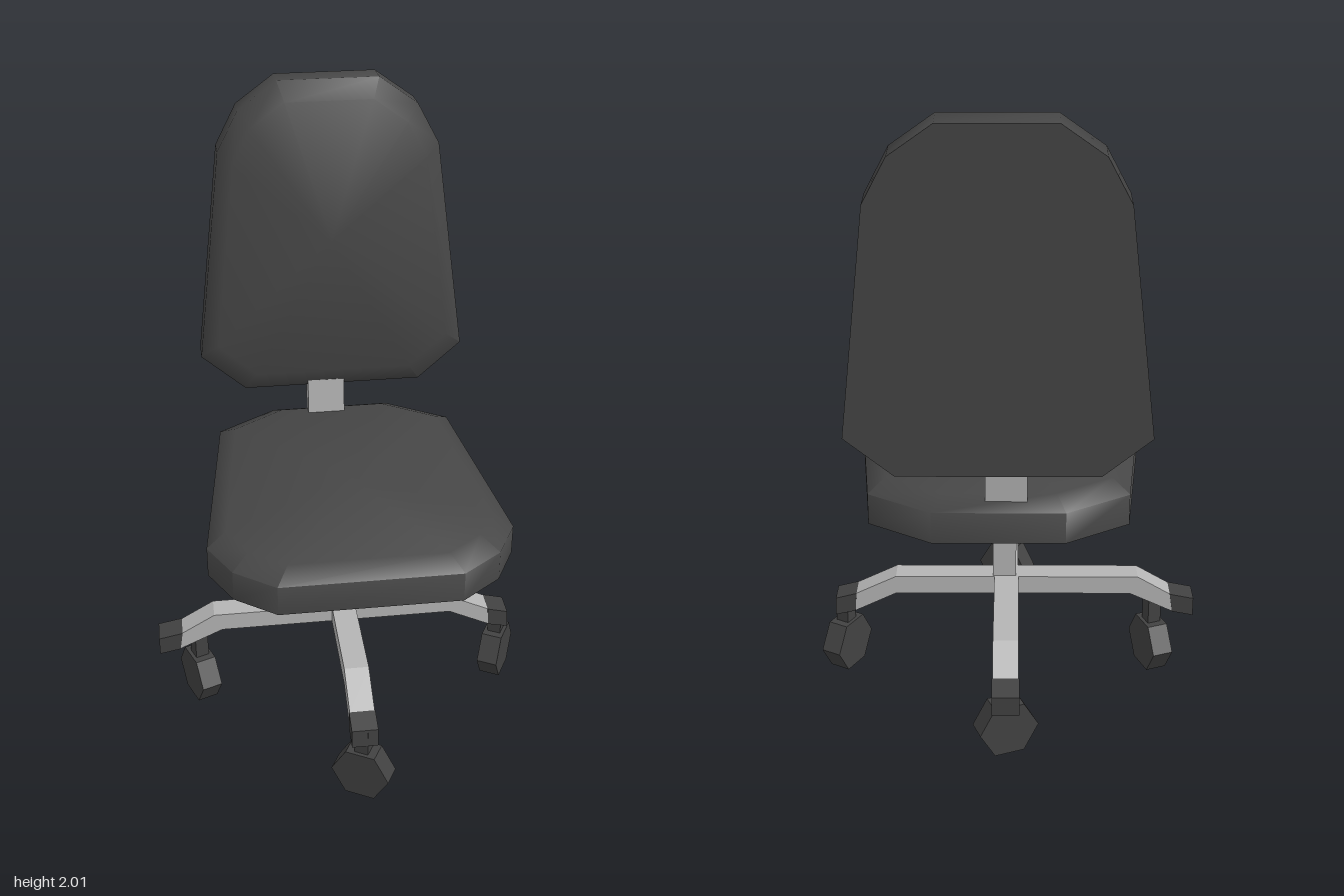
import * as THREE from 'three';
import { toCreasedNormals } from 'three/addons/utils/BufferGeometryUtils.js';

const material = (name, color) => {
  const m = new THREE.MeshStandardMaterial({ color });
  m.name = name;
  return m;
};

// Full counter-clockwise outline from its right half, listed bottom to top
const mirrored = (half) => [...half, ...half.map(([x, y]) => [-x, y]).reverse()];

// Closed solid through rings of [x, y] points stacked along +z
function loft(rings, depths, crease) {
  const pos = [];
  const n = rings[0].length;
  const P = (r, i) => [...rings[r][i % n], depths[r]];
  const centre = (r) => {
    const ys = rings[r].map((p) => p[1]);
    return [0, (Math.min(...ys) + Math.max(...ys)) / 2, depths[r]];
  };
  const last = rings.length - 1;
  for (let i = 0; i < n; i++) {
    pos.push(...centre(0), ...P(0, i + 1), ...P(0, i));
    for (let r = 0; r < last; r++) {
      pos.push(...P(r, i), ...P(r, i + 1), ...P(r + 1, i + 1));
      pos.push(...P(r, i), ...P(r + 1, i + 1), ...P(r + 1, i));
    }
    pos.push(...centre(last), ...P(last, i), ...P(last, i + 1));
  }
  const g = new THREE.BufferGeometry();
  g.setAttribute('position', new THREE.Float32BufferAttribute(pos, 3));
  return toCreasedNormals(g, crease);
}

// Padded slab: straight sides, then a soft bevel to a smaller face
function cushion(half) {
  const outline = mirrored(half);
  const ys = outline.map((p) => p[1]);
  const mid = (Math.min(...ys) + Math.max(...ys)) / 2;
  const face = outline.map(([x, y]) => [x * 0.87, mid + (y - mid) * 0.88]);
  return loft([outline, outline, face], [0, 0.1, 0.135], 1.15);
}

// Square with cut corners; cut = 0 keeps them sharp
function domeRing(h, a, cut) {
  const c = h - (cut * (h - a)) / 2;
  const corner = [[h, a], [c, c], [a, h]];
  const ring = [];
  for (let q = 0; q < 4; q++) {
    for (const [x, y] of corner) ring.push([[x, y], [-y, x], [-x, -y], [y, -x]][q]);
  }
  return ring;
}

export function createModel() {
  const fabric = material('charcoal fabric', 0x464646);
  const metal = material('grey metal', 0xb4b4b4);
  const plastic = material('black plastic', 0x414141);
  const shell = material('dark shell', 0x3c3c3c);
  const brown = material('brown shell', 0x5c4d38);

  const model = new THREE.Group();
  model.name = 'officeChair';
  const add = (name, geometry, mat, x = 0, y = 0, z = 0, parent = model) => {
    const mesh = new THREE.Mesh(geometry, mat);
    mesh.name = name;
    mesh.position.set(x, y, z);
    parent.add(mesh);
    return mesh;
  };

  // Seat and backrest
  const seat = cushion([[0.281, -0.54], [0.408, -0.447], [0.478, -0.315], [0.397, 0.375], [0.2, 0.5]]);
  add('seat', seat.rotateX(-Math.PI / 2), fabric, 0.021, 0.725, 0);
  const back = cushion([[0.3, 0], [0.446, 0.125], [0.36, 0.828], [0.29, 0.96], [0.164, 1.05]]);
  add('backrest', back, fabric, 0.021, 0.955, -0.524).rotation.x = -0.086;

  // Bracket joining seat and backrest
  add('backBracket', new THREE.BoxGeometry(0.125, 0.2, 0.06), metal, -0.002, 0.89, -0.438).rotation.x = -0.086;

  // Shell under the seat, brown towards the front
  const dome = loft(
    [domeRing(0.23, 0.075, 0), domeRing(0.187, 0.075, 0.6), domeRing(0.075, 0.035, 1)],
    [0, 0.068, 0.097], 0.7).rotateX(Math.PI / 2);
  const p = dome.attributes.position;
  for (let i = 0; i < p.count; i += 3) {
    const z = (p.getZ(i) + p.getZ(i + 1) + p.getZ(i + 2)) / 3;
    dome.addGroup(i, 3, z > 0.075 ? 1 : 0);
  }
  add('underSeatShell', dome, [shell, brown], 0.012, 0.726, 0);

  // Column
  add('column', new THREE.BoxGeometry(0.078, 0.35, 0.066), metal, 0.006, 0.47, 0);

  // Two crossing bars with bent ends and plastic tips
  const prism = (points, width) => {
    const shape = new THREE.Shape(points.map(([x, y]) => new THREE.Vector2(x, y)));
    return new THREE.ExtrudeGeometry(shape, { depth: width, bevelEnabled: false }).translate(0, 0, -width / 2);
  };
  const bar = [[-0.56, 0.222], [-0.415, 0.29], [0.37, 0.29], [0.51, 0.222],
    [0.505, 0.288], [0.37, 0.353], [-0.44, 0.353], [-0.55, 0.288]];
  const rightTip = [[0.51, 0.222], [0.578, 0.207], [0.575, 0.27], [0.505, 0.288]];
  const leftTip = [[-0.63, 0.208], [-0.56, 0.222], [-0.55, 0.288], [-0.63, 0.272]];
  for (const [name, turn] of [['crossBar', 0], ['lengthBar', -Math.PI / 2]]) {
    const group = new THREE.Group();
    group.name = name;
    group.rotation.y = turn;
    add('bar', prism(bar, 0.08), metal, 0, 0, 0, group);
    add('tip', prism(rightTip, 0.084), plastic, 0, 0, 0, group);
    add('tip', prism(leftTip, 0.084), plastic, 0, 0, 0, group);
    model.add(group);
  }

  // Swivelled casters: position and rolling direction
  const wheel = toCreasedNormals(
    new THREE.CylinderGeometry(0.097, 0.097, 0.07, 6).rotateY(Math.PI / 2).rotateX(Math.PI / 2), 0.5);
  const stem = new THREE.BoxGeometry(0.046, 0.12, 0.046);
  const casters = [
    ['leftCaster', 0.548, 0, -0.48, 0.876],
    ['rightCaster', -0.495, 0, 0.365, 0.93],
    ['frontCaster', 0, 0.546, 0.87, 0.48],
    ['rearCaster', 0, -0.495, -0.93, 0.365],
  ];
  for (const [name, x, z, dx, dz] of casters) {
    const group = new THREE.Group();
    group.name = name;
    group.position.set(x, 0, z);
    group.rotation.y = Math.atan2(-dz, dx);
    add('wheel', wheel, plastic, 0, 0.084, 0, group);
    add('stem', stem, plastic, 0, 0.2, 0, group);
    model.add(group);
  }
  return model;
}
